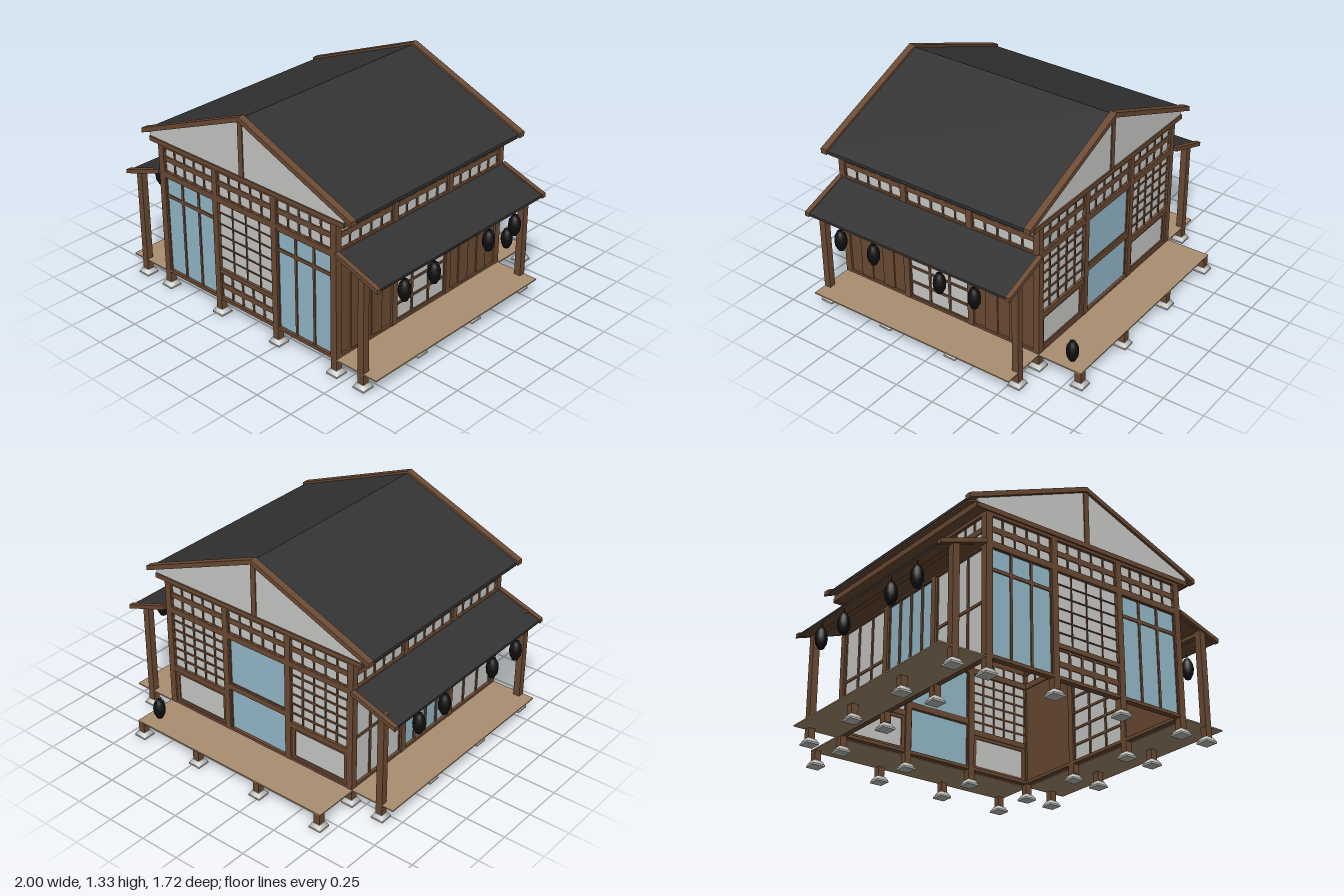
import * as THREE from 'three';

const mat = (name, color) => {
  const m = new THREE.MeshStandardMaterial({ color });
  m.name = name;
  return m;
};

export function createModel() {
  const root = new THREE.Group();
  root.name = 'timberHouse';
  const wood = mat('wood', 0x6b4a33), paper = mat('paper', 0xc9c9c7), glass = mat('glass', 0x95bacb);
  const tile = mat('roofTile', 0x333333), deckMat = mat('deckBoards', 0xaa8f71);
  const stone = mat('stone', 0xbfbfbd), black = mat('lanternBlack', 0x0e0e0e);

  const add = (parent, name, geo, m, x = 0, y = 0, z = 0) => {
    const mesh = new THREE.Mesh(geo, m);
    mesh.name = name;
    mesh.position.set(x, y, z);
    parent.add(mesh);
    return mesh;
  };
  // box given by its limits
  const box = (parent, name, m, x0, x1, y0, y1, z0, z1) =>
    add(parent, name, new THREE.BoxGeometry(x1 - x0, y1 - y0, z1 - z0), m, (x0 + x1) / 2, (y0 + y1) / 2, (z0 + z1) / 2);
  // x-y outline extruded along z
  const prism = (parent, name, m, pts, z0, z1) => {
    const shape = new THREE.Shape(pts.map(p => new THREE.Vector2(p[0], p[1])));
    return add(parent, name, new THREE.ExtrudeGeometry(shape, { depth: z1 - z0, bevelEnabled: false }), m, 0, 0, z0);
  };
  // sloping board, t = vertical thickness, top edge from a to b
  const slope = (parent, name, m, x0, y0, x1, y1, t, z0, z1) =>
    prism(parent, name, m, [[x0, y0], [x0, y0 - t], [x1, y1 - t], [x1, y1]], z0, z1);

  const roundHole = (x0, x1, y0, y1, r) => {
    const p = new THREE.Path();
    p.moveTo(x0 + r, y0);
    p.lineTo(x1 - r, y0); p.quadraticCurveTo(x1, y0, x1, y0 + r);
    p.lineTo(x1, y1 - r); p.quadraticCurveTo(x1, y1, x1 - r, y1);
    p.lineTo(x0 + r, y1); p.quadraticCurveTo(x0, y1, x0, y1 - r);
    p.lineTo(x0, y0 + r); p.quadraticCurveTo(x0, y0, x0 + r, y0);
    return p;
  };
  // wooden lattice with a pane set into the middle of its depth
  const lattice = (parent, name, pane, u0, u1, y0, y1, cols, rows, gu, gy, r = 0.006) => {
    const s = new THREE.Shape([[u0, y0], [u1, y0], [u1, y1], [u0, y1]].map(p => new THREE.Vector2(...p)));
    const w = (u1 - u0) / cols, h = (y1 - y0) / rows;
    for (let i = 0; i < cols; i++) for (let j = 0; j < rows; j++)
      s.holes.push(roundHole(u0 + i * w + gu / 2, u0 + (i + 1) * w - gu / 2, y0 + j * h + gy / 2, y0 + (j + 1) * h - gy / 2, r));
    const geo = new THREE.ExtrudeGeometry(s, { depth: 0.02, bevelEnabled: false, curveSegments: 4 });
    add(parent, name + 'Lattice', geo, wood, 0, 0, -0.03);
    box(parent, name + 'Pane', pane, u0 + 0.002, u1 - 0.002, y0 + 0.002, y1 - 0.002, -0.023, -0.017);
  };

  // fillings of one wall bay
  const bays = {
    windows(g, a, b) {
      lattice(g, 'upperWindow', glass, a, b, 0.61, 0.74, 3, 1, 0.014, 0.02, 0.012);
      lattice(g, 'window', glass, a, b, 0.11, 0.61, 3, 1, 0.014, 0.02, 0.012);
    },
    frontScreen(g, a, b) {
      lattice(g, 'paperScreen', paper, a, b, 0.305, 0.735, 4, 6, 0.006, 0.006, 0.003);
      box(g, 'screenRail', wood, a, b, 0.28, 0.308, -0.035, 0);
      lattice(g, 'lowScreen', paper, a, b, 0.1, 0.285, 5, 2, 0.012, 0.032, 0.012);
    },
    backScreen(g, a, b) {
      lattice(g, 'paperScreen', paper, a, b, 0.36, 0.74, 5, 6, 0.01, 0.01, 0.003);
      box(g, 'screenRail', wood, a, b, 0.33, 0.365, -0.035, 0);
      lattice(g, 'lowPanel', paper, a, b, 0.11, 0.335, 1, 1, 0.05, 0.05, 0.008);
    },
    door(g, a, b) {
      lattice(g, 'doorTop', glass, a, b, 0.42, 0.74, 1, 1, 0.02, 0.02, 0.006);
      box(g, 'doorRail', wood, a, b, 0.39, 0.425, -0.035, 0);
      lattice(g, 'doorBottom', glass, a, b, 0.11, 0.395, 1, 1, 0.02, 0.02, 0.006);
    },
    slidingScreen(g, a, b) {
      lattice(g, 'slidingScreen', paper, a, b, 0.115, 0.735, 3, 6, 0.014, 0.014, 0.004);
    },
    plainScreen(g, a, b) {
      lattice(g, 'plainScreen', paper, a, b, 0.11, 0.74, 3, 2, 0.016, 0.016, 0.004);
    },
    sideWindows(g, a, b) {
      lattice(g, 'sideWindow', glass, a, b, 0.11, 0.74, 4, 1, 0.018, 0.02, 0.006);
    },
    planks(g, a, b) {
      const w = (b - a) / 5;
      for (let i = 0; i < 5; i++)
        box(g, 'plank', wood, a + i * w, a + (i + 1) * w, 0.105, 0.74, -0.03, i % 2 ? -0.004 : -0.012);
    },
  };

  // one wall: three bays between posts, with two rows of transom panes
  const wall = (name, half, x, z, turn, kinds) => {
    const g = new THREE.Group();
    g.name = name;
    g.position.set(x, 0, z);
    g.rotation.y = turn;
    root.add(g);
    const p = [-half + 0.02, -0.23, 0.23, half - 0.02];
    kinds.forEach((kind, i) => {
      const a = p[i] + 0.018, b = p[i + 1] - 0.018;
      bays[kind](g, a, b);
      lattice(g, 'transom', paper, a, b, 0.755, 0.94, 5, 2, 0.01, 0.032, 0.014);
    });
    for (const u of [p[1], p[2]]) box(g, 'wallPost', wood, u - 0.02, u + 0.02, 0.04, 0.94, -0.04, 0.002);
    box(g, 'sillBeam', wood, -half + 0.04, half - 0.04, 0.1, 0.12, -0.038, 0);
    box(g, 'middleBeam', wood, -half + 0.04, half - 0.04, 0.732, 0.77, -0.038, 0.001);
    box(g, 'topBeam', wood, -half + 0.04, half - 0.04, 0.92, 0.945, -0.038, 0.001);
  };
  wall('frontWall', 0.69, 0, 0.84, 0, ['windows', 'frontScreen', 'windows']);
  wall('backWall', 0.69, 0, -0.56, Math.PI, ['backScreen', 'door', 'backScreen']);
  wall('leftWall', 0.7, 0.69, 0.14, Math.PI / 2, ['planks', 'slidingScreen', 'planks']);
  wall('rightWall', 0.7, -0.69, 0.14, -Math.PI / 2, ['plainScreen', 'sideWindows', 'plainScreen']);

  // footing stones and short legs
  const footGeo = new THREE.CylinderGeometry(0.035, 0.056, 0.026, 4).rotateY(Math.PI / 4);
  const foot = (x, z, top = 0.1) => {
    box(root, 'footingBase', stone, x - 0.04, x + 0.04, 0, 0.01, z - 0.04, z + 0.04);
    add(root, 'footingStone', footGeo, stone, x, 0.022, z);
    box(root, 'leg', wood, x - 0.021, x + 0.021, 0.034, top, z - 0.021, z + 0.021);
  };
  const xs = [-0.67, -0.23, 0.23, 0.67], zs = [0.82, 0.375, -0.095, -0.54];
  xs.forEach((x, i) => zs.forEach((z, j) => {
    const ei = i % 3 === 0, ej = j % 3 === 0;
    if (ei || ej) foot(x, z, ei && ej ? 0.945 : 0.1); // corner posts run full height
  }));
  for (const x of xs) foot(x, -0.82, 0.097);

  // raised decks
  box(root, 'backDeck', deckMat, -0.695, 0.695, 0.096, 0.104, -0.84, -0.56);

  // lantern with ribs, caps and top loop
  const lanternGeo = new THREE.LatheGeometry(
    [[0, -0.062], [0.018, -0.062], [0.022, -0.052], [0.033, -0.032], [0.037, 0], [0.033, 0.032], [0.022, 0.052], [0.018, 0.062], [0, 0.062]]
      .map(p => new THREE.Vector2(...p)), 16);
  const lantern = (x, y, z) => {
    const g = new THREE.Group();
    g.name = 'lantern';
    g.position.set(x, y, z);
    add(g, 'lanternBody', lanternGeo, black);
    root.add(g);
    return g;
  };

  for (const s of [-1, 1]) {
    // side deck, porch posts and porch roof
    box(root, 'sideDeck', deckMat, Math.min(s * 0.69, s * 0.975), Math.max(s * 0.69, s * 0.975), 0.096, 0.104, -0.56, 0.84);
    const px = s > 0 ? 0.865 : -0.88;
    zs.forEach((z, j) => foot(px, z, j % 3 ? 0.097 : 0.695));
    box(root, 'porchBeam', wood, px - 0.016, px + 0.016, 0.665, 0.69, -0.54, 0.82);
    slope(root, 'porchRoof', tile, s * 0.69, 0.762, s * 0.98, 0.662, 0.012, -0.55, 0.825);
    slope(root, 'porchSoffit', wood, s * 0.69, 0.75, s * 0.976, 0.651, 0.008, -0.55, 0.825);
    for (const z of [-0.58, 0.82])
      slope(root, 'porchEdgeBoard', wood, s * 0.69, 0.77, s * 0.985, 0.669, 0.026, z, z + 0.03);

    for (const z of [0.61, 0.37, -0.095, -0.33]) {
      const l = lantern(s * 0.962, 0.555, z);
      box(l, 'lanternCord', black, -0.002, 0.002, 0.06, 0.1, -0.002, 0.002);
    }

    // main roof half
    slope(root, 'roof', tile, 0, 1.31, s * 0.80, 0.988, 0.018, -0.545, 0.82);
    slope(root, 'roofSoffit', wood, 0, 1.292, s * 0.795, 0.972, 0.01, -0.545, 0.82);
    for (const z of [-0.585, 0.815])
      slope(root, 'bargeBoard', wood, 0, 1.325, s * 0.81, 0.998, 0.03, z, z + 0.042);
    box(root, 'eaveBeam', wood, s * 0.72 - 0.035, s * 0.72 + 0.035, 0.94, 0.975, -0.56, 0.84);
  }

  // gables with king post and tie beam
  for (const [z, out] of [[0.835, 1], [-0.555, -1]]) {
    prism(root, 'gable', paper, [[-0.75, 0.955], [0.75, 0.955], [0.75, 0.99], [0, 1.293], [-0.75, 0.99]], z - 0.008, z + 0.008);
    box(root, 'kingPost', wood, -0.017, 0.017, 0.955, 1.29, z - 0.014, z + 0.014);
    box(root, 'tieBeam', wood, -0.752, 0.752, 0.937, 0.965, z - 0.016, z + 0.016);
  }

  // standing lantern with a wire handle
  const standing = lantern(0.62, 0.166, -0.735);
  const wire = add(standing, 'lanternHandle', new THREE.TorusGeometry(0.016, 0.002, 6, 16, Math.PI), stone, 0, 0.062, 0);
  wire.rotation.y = Math.PI / 2;

  return root;
}

// Give mirrored sloping boards outward faces: ShapeGeometry winding is normalised by ExtrudeGeometry.
